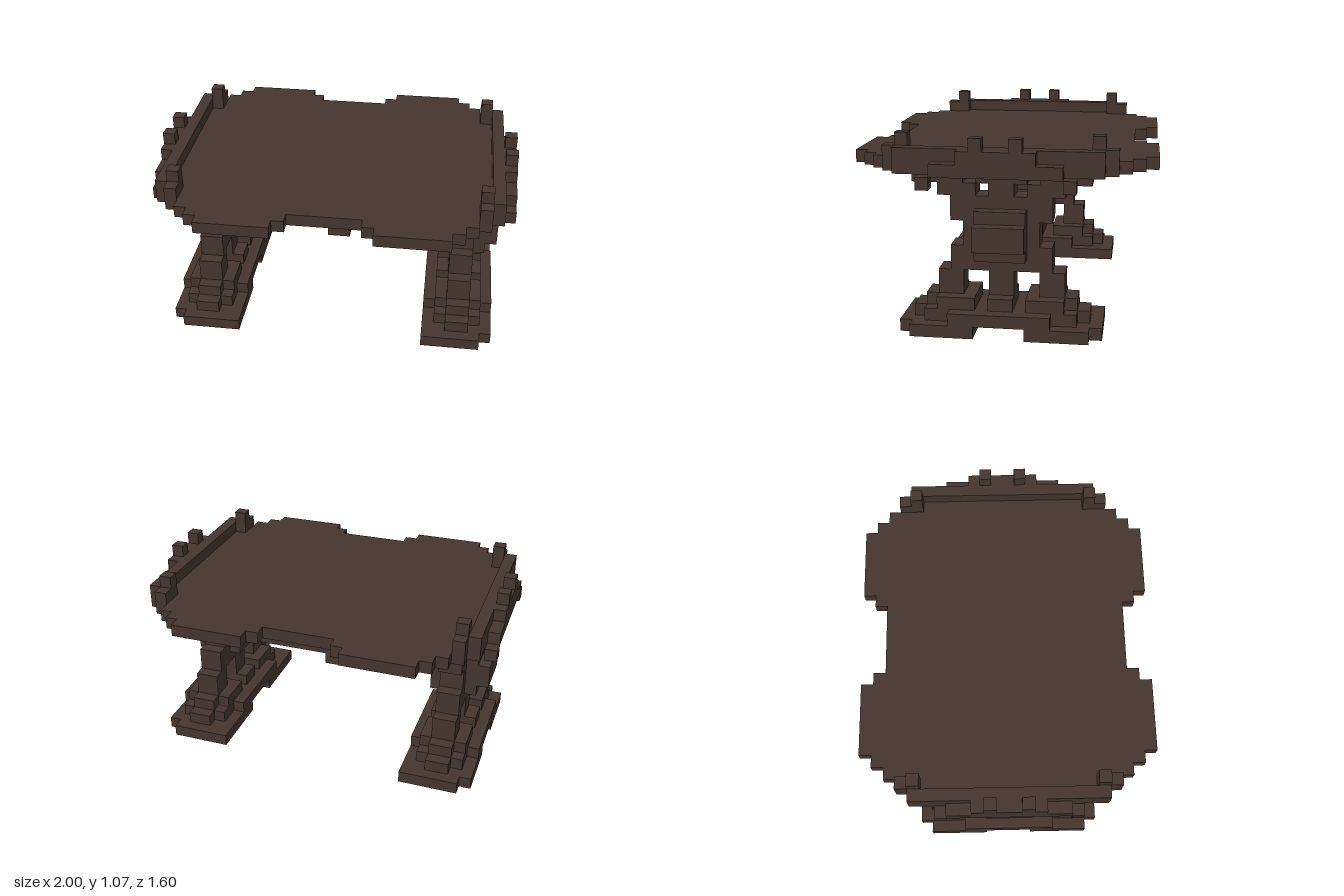
import * as THREE from 'three';

const U = 1 / 15; // one block

export function createModel() {
  const model = new THREE.Group();
  const wood = new THREE.MeshStandardMaterial({ color: 0x45362e });
  wood.name = 'darkWood';

  // Box from block ranges, optionally mirrored front to back
  function block(parent, name, [x0, x1], [y0, y1], [z0, z1], mirrorZ = false) {
    for (const s of mirrorZ ? [1, -1] : [1]) {
      const mesh = new THREE.Mesh(
        new THREE.BoxGeometry((x1 - x0) * U, (y1 - y0) * U, (z1 - z0) * U), wood);
      mesh.position.set((x0 + x1) / 2 * U, (y0 + y1) / 2 * U, s * (z0 + z1) / 2 * U);
      mesh.name = name;
      parent.add(mesh);
    }
  }

  // Tabletop: stepped quarter outline, mirrored to all four corners
  const quarter = [[3, 10], [3, 11], [4, 11], [4, 12], [10, 12], [10, 11], [11, 11], [11, 10],
    [12, 10], [12, 9], [13, 9], [13, 8], [14, 8], [14, 5], [15, 5]];
  const flip = (pts, sx, sz) => pts.map(([x, z]) => [x * sx, z * sz]);
  const back = [...quarter].reverse();
  const outline = [...quarter, ...flip(back, 1, -1), ...flip(quarter, -1, -1), ...flip(back, -1, 1)];
  const shape = new THREE.Shape(outline.map(([x, z]) => new THREE.Vector2(x * U, z * U)));
  const topGeo = new THREE.ExtrudeGeometry(shape, { depth: U, bevelEnabled: false });
  topGeo.rotateX(-Math.PI / 2);
  const top = new THREE.Mesh(topGeo, wood);
  top.position.y = 13 * U;
  top.name = 'tabletop';
  model.add(top);

  // Central support and the stretcher between the legs
  block(model, 'centrePost', [-1, 1], [6, 12], [-1, 1]);
  block(model, 'centreBracketAcross', [-3, 3], [12, 13], [-1, 1]);
  block(model, 'centreBracketDeep', [-1, 1], [12, 13], [1, 3], true);
  block(model, 'stretcher', [-9, 9], [7, 9], [-1, 1]);

  for (const side of [1, -1]) {
    const end = new THREE.Group();
    end.name = side > 0 ? 'leftEnd' : 'rightEnd';
    if (side < 0) end.rotation.y = Math.PI;
    model.add(end);

    // Raised rail with little posts
    block(end, 'rail', [13, 14], [14, 15], [-8, 8]);
    block(end, 'railCorner', [12, 13], [14, 15], [7, 9], true);
    block(end, 'railCrest', [14, 15], [14, 15], [-3, 3]);
    block(end, 'cornerPost', [12, 13], [15, 16], [7, 8], true);
    block(end, 'middlePost', [14, 15], [15, 16], [1, 2], true);
    block(end, 'railDrop', [14, 15], [12, 13], [5, 6], true);

    // Curved leg: height range, then depth range on each side
    const leg = [[[12, 13], [3, 7]], [[11, 12], [2, 5]], [[9, 11], [1, 4]], [[7, 9], [1, 3]],
      [[5, 7], [1, 4]], [[3, 5], [3, 5]], [[2, 3], [4, 6]]];
    for (const [y, z] of leg) block(end, 'leg', [10, 12], y, z, true);
    block(end, 'legPost', [10, 12], [2, 13], [-1, 1]);
    block(end, 'legPostTop', [10, 12], [12, 13], [1, 2], true);

    // Hub where the stretcher passes through the leg
    block(end, 'hub', [9, 13], [6, 10], [-2, 2]);
    block(end, 'hubCap', [13, 14], [7, 9], [-2, 2]);

    // Stepped foot
    block(end, 'footCollar', [9, 13], [2, 3], [2, 5], true);
    block(end, 'postCollar', [9, 13], [2, 3], [-1, 1]);
    block(end, 'footBridge', [8, 14], [1, 2], [-4, 4]);
    block(end, 'footStep', [9, 13], [1, 2], [4, 6], true);
    block(end, 'footToe', [10, 12], [1, 2], [6, 7], true);
    block(end, 'footSlab', [8, 13], [0, 1], [2, 8], true);
    block(end, 'footSlabEdge', [13, 14], [0, 1], [2, 7], true);
  }
  return model;
}
